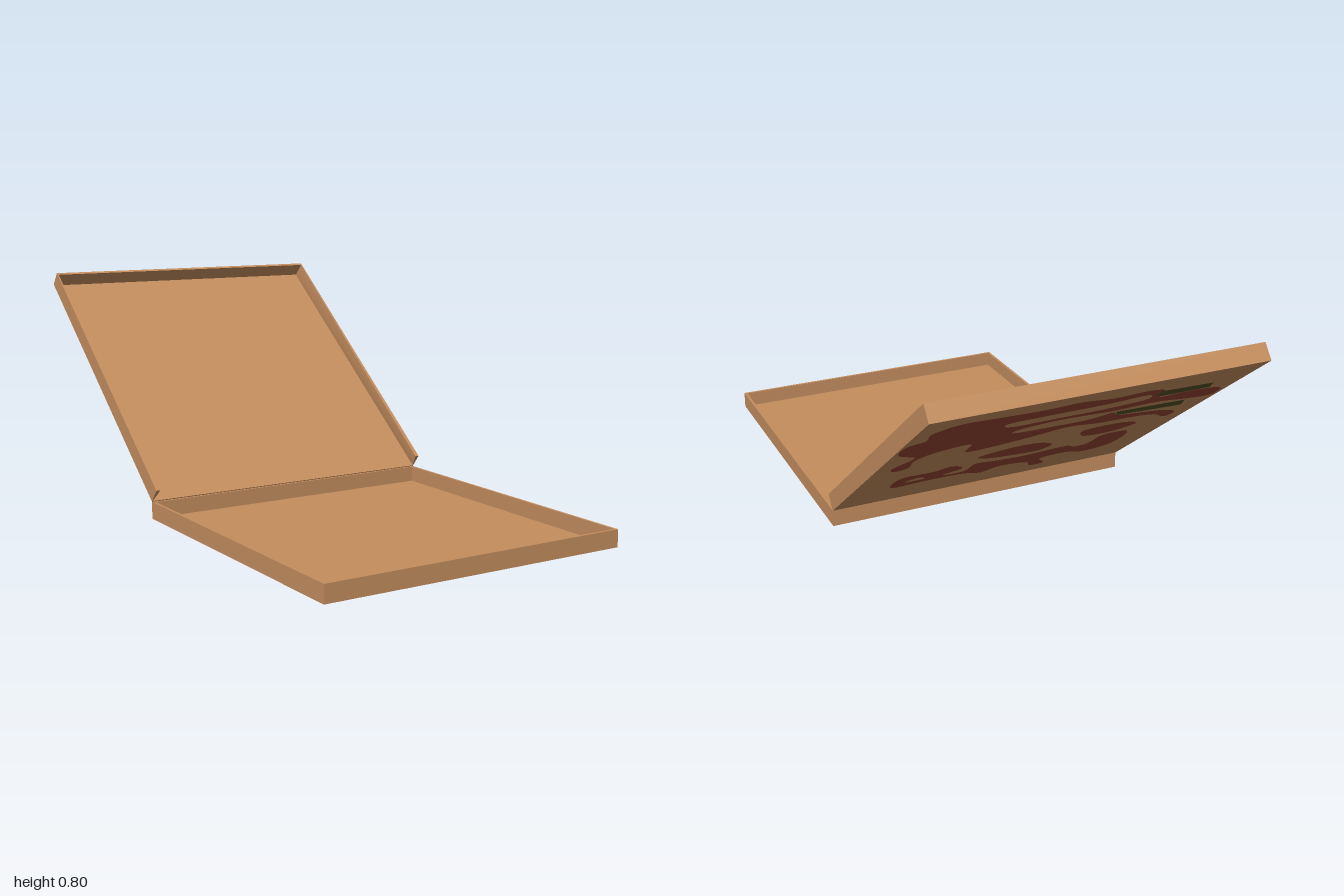
import * as THREE from 'three';

const W = 1.12, L = 1.12, H = 0.06, T = 0.01, FLOOR = 0.004;

const cardboard = new THREE.MeshStandardMaterial({ color: 0xc48d5e });
cardboard.name = 'cardboard';
const redInk = new THREE.MeshStandardMaterial({ color: 0x94422f });
redInk.name = 'red ink';
const greenInk = new THREE.MeshStandardMaterial({ color: 0x4e4e24 });
greenInk.name = 'dark green ink';

function box(parent, name, w, h, d, x, y, z) {
  const mesh = new THREE.Mesh(new THREE.BoxGeometry(w, h, d), cardboard);
  mesh.name = name;
  mesh.position.set(x, y, z);
  parent.add(mesh);
  return mesh;
}

// Artwork points are percentages: across the lid from its left edge, and away from the hinge
function outline(points, smooth) {
  const v = [];
  for (let i = 0; i < points.length; i += 2) {
    v.push(new THREE.Vector3(W * (0.5 - points[i] / 100), -L * points[i + 1] / 100, 0));
  }
  const pts = smooth
    ? new THREE.CatmullRomCurve3(v, true, 'centripetal').getPoints(v.length * 4).slice(0, -1)
    : v;
  return pts.map((p) => new THREE.Vector2(p.x, p.y));
}

function print(parent, name, material, lift, points, hole, smooth = true) {
  const shape = new THREE.Shape(outline(points, smooth));
  if (hole) shape.holes.push(new THREE.Path(outline(hole, smooth)));
  const geometry = new THREE.ShapeGeometry(shape);
  geometry.rotateX(Math.PI / 2); // faces outward, below the lid panel
  const mesh = new THREE.Mesh(geometry, material);
  mesh.name = name;
  mesh.position.y = -lift;
  parent.add(mesh);
}

// Lid side flap: leans inward at the hinge and straightens toward the far edge
function sideFlap(parent, side) {
  const geometry = new THREE.BoxGeometry(T, H, L);
  const pos = geometry.attributes.position;
  for (let i = 0; i < pos.count; i++) {
    const outer = pos.getX(i) * side > 0;
    const rim = pos.getY(i) > 0;
    const hinge = pos.getZ(i) > 0;
    const thickness = rim ? (hinge ? 0.015 : 0.004) : (hinge ? 0.001 : 0.01);
    pos.setX(i, side * (W / 2 - (outer ? 0 : thickness)));
  }
  geometry.computeVertexNormals();
  const mesh = new THREE.Mesh(geometry, cardboard);
  mesh.name = side > 0 ? 'lidLeftFlap' : 'lidRightFlap';
  mesh.position.set(0, H / 2, -L / 2);
  parent.add(mesh);
}

export function createModel() {
  const model = new THREE.Group();
  model.name = 'openBox';

  // Base tray
  const base = new THREE.Group();
  base.name = 'base';
  base.position.z = 0.44;
  box(base, 'baseFloor', W, FLOOR, L, 0, FLOOR / 2, 0);
  for (const s of [1, -1]) {
    box(base, s > 0 ? 'baseLeftWall' : 'baseRightWall', T, H, L, s * (W - T) / 2, H / 2, 0);
    box(base, s > 0 ? 'baseFrontWall' : 'baseBackWall', W - 2 * T, H, T, 0, H / 2, s * (L - T) / 2);
  }
  model.add(base);

  // Lid, swung open about the back edge of the base
  const lid = new THREE.Group();
  lid.name = 'lid';
  lid.position.set(0, H, -0.12);
  lid.rotation.x = Math.atan2(0.7, 0.88);
  box(lid, 'lidPanel', W, FLOOR, L, 0, FLOOR / 2, -L / 2);
  box(lid, 'lidEndWall', W, H, T, 0, H / 2, -L + T / 2);
  sideFlap(lid, 1);
  sideFlap(lid, -1);
  model.add(lid);

  // Printed decoration on the outside of the lid
  print(lid, 'largeRedPrint', redInk, 0.002, [
    10.6, 93.1, 21.7, 92.5, 35.1, 91.5, 45.8, 92.6, 56.3, 89.9, 67, 91, 72.8, 88.3,
    75, 80.5, 82.3, 81, 93.2, 79.7, 97.4, 76.4, 97.4, 70.3, 89.6, 71, 77.6, 74.5,
    63.9, 73.3, 46, 75, 34.6, 71.8, 34.3, 69.3, 47.5, 67.6, 59.3, 67.9, 65.2, 71,
    68.3, 66.5, 76.9, 63.7, 87.2, 60.3, 94.1, 53.8, 92.5, 50.2, 85.5, 56.7,
    76.5, 59.3, 66.2, 59.6, 54, 62.8, 45, 59, 36, 56, 25.6, 54.9, 23.5, 65.2,
    13.8, 62.7, 9.6, 56.8, 10.2, 47.8, 6.5, 46.3, 4.6, 51.1, 8.5, 60.6,
    1.5, 68.2, 1, 77.6, 5.3, 80.7, 4.7, 87.7,
  ], [
    27.6, 82.5, 40.2, 83.7, 56.8, 84, 69.5, 85.6, 71.5, 81, 60.7, 78.2, 44, 77.9, 29.6, 78.4,
  ]);
  print(lid, 'lowerRedPrint', redInk, 0.002, [
    12.8, 33.6, 22.8, 33.8, 27.5, 36.8, 33, 30.4, 28.2, 25.5, 35.5, 24.6, 36.4, 33.5,
    44.3, 31.6, 54.9, 30.8, 66.9, 33, 71.7, 28.8, 75.4, 30.2, 76.3, 39.1, 85.2, 38.8,
    87.5, 22, 80.4, 17.5, 70.6, 22.2, 63, 20.5, 67.7, 11.4, 63.3, 10.9, 59.4, 17.9,
    48, 20.9, 44.3, 16.4, 36.7, 20.8, 24.1, 21.5, 13.4, 20.4,
  ], [16, 25.7, 19, 29.3, 22.6, 25.8]);
  print(lid, 'centreRedPrint', redInk, 0.002, [
    33.6, 42.8, 40.7, 47.3, 50.6, 47.5, 58.8, 40.3, 56.7, 35.2, 48.4, 35.7, 38.4, 38.5,
  ]);
  print(lid, 'sideRedPrint', redInk, 0.002, [
    64, 52.6, 77, 53.4, 83.8, 48, 78.5, 43, 67.9, 43.8,
  ]);
  print(lid, 'upperGreenPrint', greenInk, 0.004,
    [71.4, 88.4, 88.9, 87.2, 90.2, 82.2, 73.3, 82.4], null, false);
  print(lid, 'lowerGreenPrint', greenInk, 0.004,
    [65.4, 72.1, 88.5, 70.6, 90.4, 64.6, 67.7, 67.5], null, false);

  return model;
}
